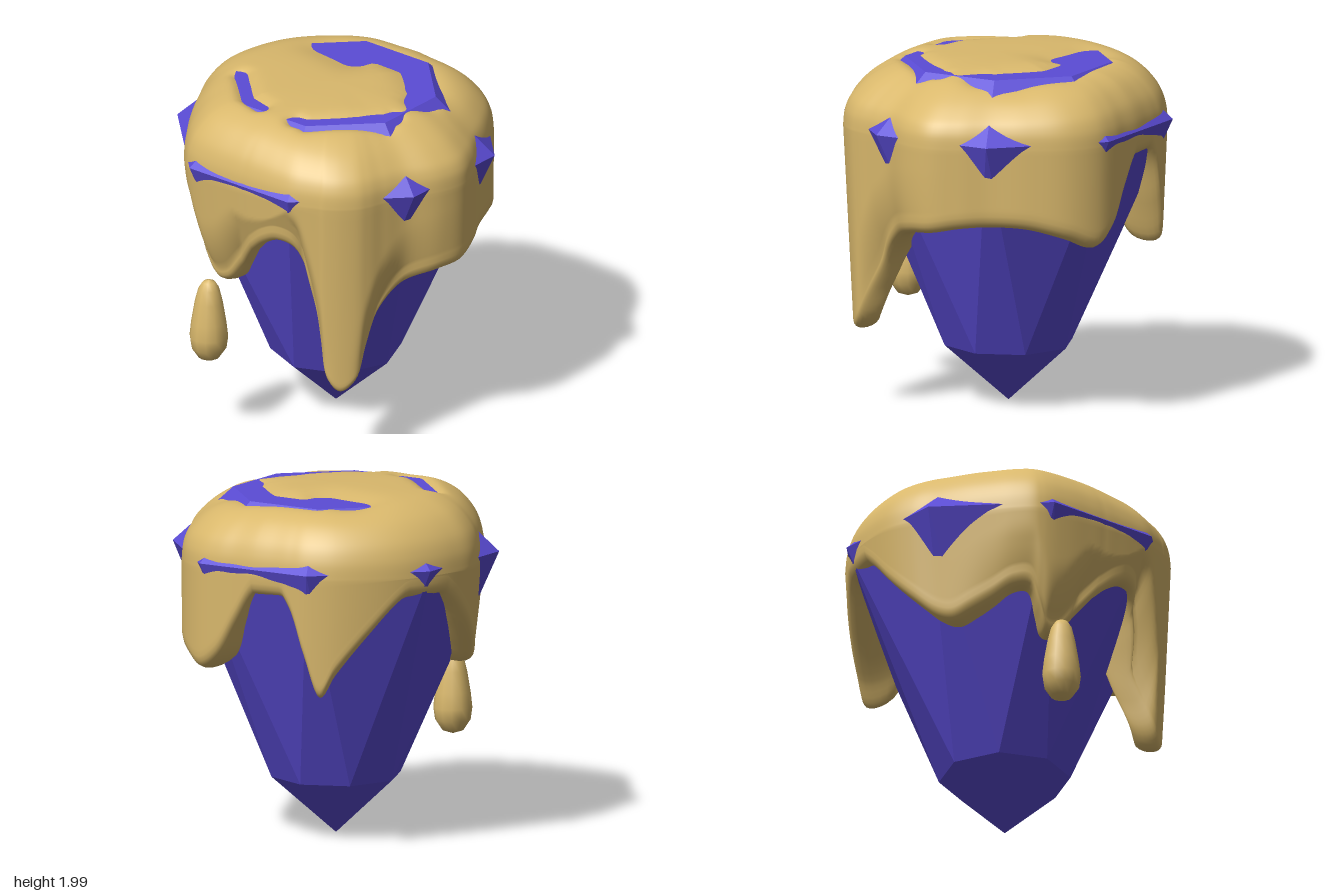
import * as THREE from 'three';
import { ConvexGeometry } from 'three/addons/geometries/ConvexGeometry.js';

const GEM = 0x5b4cd6, HONEY = 0xd9b86c;

// Eight-sided cut gem: table, girdle, lower ring turned by half a step, tip
function makeGem() {
  const pts = [new THREE.Vector3(-0.02, 0, -0.025)];
  for (const [y, r, turn] of [[1.953, 0.585, 0.5], [1.635, 0.93, 0.5], [0.33, 0.37, 0]]) {
    for (let i = 0; i < 8; i++) {
      const a = (i + turn) * Math.PI / 4;
      pts.push(new THREE.Vector3(-0.02 + r * Math.sin(a), y, -0.025 + r * Math.cos(a)));
    }
  }
  const mesh = new THREE.Mesh(new ConvexGeometry(pts),
    new THREE.MeshStandardMaterial({ color: GEM, flatShading: true }));
  mesh.name = 'gem';
  return mesh;
}

// Coating rim around the gem: [angle from the front in degrees, hem height, radius]
const RIM = [
  [0, 1.19, 0.826], [8, 1.28, 0.832], [15, 1.32, 0.847], [22, 1.28, 0.87], [28, 1.03, 0.88],
  [33, 0.72, 0.89], [36, 0.52, 0.9], [41, 0.445, 0.905], [47, 0.51, 0.9], [52, 0.7, 0.88],
  [59, 0.9, 0.845], [69, 1.03, 0.828], [82, 1.09, 0.885], [92, 1.11, 0.905], [103, 1.14, 0.87],
  [115, 1.15, 0.837], [130, 1.14, 0.865], [145, 1.08, 0.915], [156, 1.02, 0.925],
  [164, 1.1, 0.905], [172, 1.3, 0.88], [180, 1.48, 0.875], [188, 1.54, 0.875],
  [195, 1.42, 0.89], [201, 1.15, 0.91], [207, 0.92, 0.92], [213, 1.05, 0.925],
  [225, 1.27, 0.925], [238, 1.47, 0.925], [249, 1.54, 0.92], [260, 1.43, 0.915],
  [270, 1.27, 0.91], [280, 1.12, 0.88], [288, 1.02, 0.85], [295, 0.99, 0.84],
  [303, 1.03, 0.838], [312, 1.09, 0.845], [321, 1.16, 0.87], [328, 1.16, 0.89],
  [332, 1.03, 0.89], [336, 0.92, 0.88], [342, 0.93, 0.86], [351, 1.05, 0.836], [360, 1.19, 0.826],
];

// Shallow grooves in the top where the table shows through: [x1, z1, x2, z2, width]
const GROOVES = [
  [0.12, 0.5, 0.2, 0.49, 0.05], [0.2, 0.49, 0.49, 0.19, 0.06], [0.49, 0.19, 0.51, 0.1, 0.04],
  [-0.5, 0.23, -0.27, 0.45, 0.05], [-0.27, 0.45, -0.14, 0.49, 0.05],
  [-0.33, -0.37, -0.14, -0.33, 0.16], [-0.2, -0.45, 0.2, -0.47, 0.13],
  [0.2, -0.47, 0.4, -0.32, 0.13], [0.4, -0.32, 0.49, -0.15, 0.08],
];
const segment = new THREE.Line3(), nearest = new THREE.Vector3();
function groove(x, z) {
  const p = new THREE.Vector3(x, 0, z);
  return Math.max(...GROOVES.map(([x1, z1, x2, z2, w]) => {
    segment.start.set(x1, 0, z1);
    segment.end.set(x2, 0, z2);
    segment.closestPointToPoint(p, true, nearest);
    return Math.exp(-nearest.distanceToSquared(p) / (w * w));
  }));
}

// Rounded top and shoulder, as a fraction of the radius and a height
const CAP = new THREE.SplineCurve([[0, 1.988], [0.3, 1.985], [0.55, 1.974], [0.7, 1.955],
  [0.84, 1.895], [0.94, 1.8], [0.987, 1.7], [1, 1.6]].map(p => new THREE.Vector2(...p)));

// Section of the coating at one angle: top, shoulder, outer wall, rounded hem, inner wall
function section(a, hem, R) {
  const out = [], { smoothstep } = THREE.MathUtils, side = Math.sin(a);
  for (let j = 1; j <= 36; j++) {
    const p = CAP.getPoint(j / 36), r = p.x * R, q = 1 - p.x;
    const dip = 0.045 * groove(r * side, r * Math.cos(a));
    const slump = 0.06 * side * p.x ** 2 * q + 0.8 * Math.max(0, side) * p.x ** 6 * q;
    out.push([r, p.y - dip - slump]);
  }
  // The wall leans inward at the front left and tucks in toward the gem beside the front drips
  const lean = 0.05 * (1 + Math.cos(a + 0.9));
  const tuck = 0.2 * Math.max(0, Math.cos(a - 0.3)) ** 2 * smoothstep(hem, 0.45, 0.9);
  const wall = y => {
    const r = R - lean * (1.6 - y);
    const pulled = r - tuck * Math.max(0, 1 - (y - hem) / 0.4) ** 2 * smoothstep(1.6 - y, 0, 0.2);
    return Math.min(r, Math.max(pulled, 0.39 + 0.385 * (y - 0.33)));
  };
  const thick = 0.15 + 0.11 * smoothstep(hem, 0.8, 1.05);
  const lift = thick * 0.42, base = Math.min(hem + lift, 1.59);
  for (let j = 1; j <= 16; j++) {
    const y = 1.6 + (base - 1.6) * j / 16;
    out.push([wall(y), y]);
  }
  const outer = wall(base), inner = outer - thick;
  for (let j = 1; j <= 10; j++) {
    const t = j / 10 * Math.PI;
    out.push([outer - thick * ((1 - Math.cos(t)) / 2) ** 1.5, base - Math.sin(t) * lift]);
  }
  for (let j = 1; j <= 5; j++) {
    out.push([inner + (0.58 - inner) * j / 5, base + (1.6 - base) * j / 5]);
  }
  return out;
}

function makeCoating() {
  const curve = new THREE.CatmullRomCurve3(RIM.map(([d, h, r]) =>
    new THREE.Vector3(THREE.MathUtils.degToRad(d), h, r)));
  const cols = 258, pos = [0, 1.988, 0], index = [];
  let rows = 0;
  for (let i = 0; i < cols; i++) {
    const p = curve.getPoint(i / cols), pts = section(p.x, p.y, p.z);
    rows = pts.length;
    for (const [r, y] of pts) pos.push(r * Math.sin(p.x), y, r * Math.cos(p.x));
  }
  const id = (i, j) => j === 0 ? 0 : 1 + (i % cols) * rows + j - 1;
  for (let i = 0; i < cols; i++) {
    for (let j = 0; j < rows; j++) {
      if (j > 0) index.push(id(i, j), id(i, j + 1), id(i + 1, j));
      index.push(id(i + 1, j), id(i, j + 1), id(i + 1, j + 1));
    }
  }
  const geo = new THREE.BufferGeometry();
  geo.setAttribute('position', new THREE.Float32BufferAttribute(pos, 3));
  geo.setIndex(index);
  geo.computeVertexNormals();
  const mesh = new THREE.Mesh(geo,
    new THREE.MeshStandardMaterial({ color: HONEY, side: THREE.DoubleSide }));
  mesh.name = 'drippingCoating';
  return mesh;
}

// Falling drop below the front drip
function makeDrop() {
  const profile = [[0, 0.46], [0.06, 0.48], [0.1, 0.54], [0.11, 0.61], [0.1, 0.7],
    [0.08, 0.82], [0.06, 0.9], [0.035, 0.94], [0, 0.955]].map(p => new THREE.Vector2(...p));
  const mesh = new THREE.Mesh(new THREE.LatheGeometry(profile, 12),
    new THREE.MeshStandardMaterial({ color: HONEY }));
  mesh.position.set(-0.28, 0, 0.78);
  mesh.name = 'fallingDrop';
  return mesh;
}

export function createModel() {
  const group = new THREE.Group();
  group.name = 'coatedGem';
  group.add(makeGem(), makeCoating(), makeDrop());
  return group;
}
